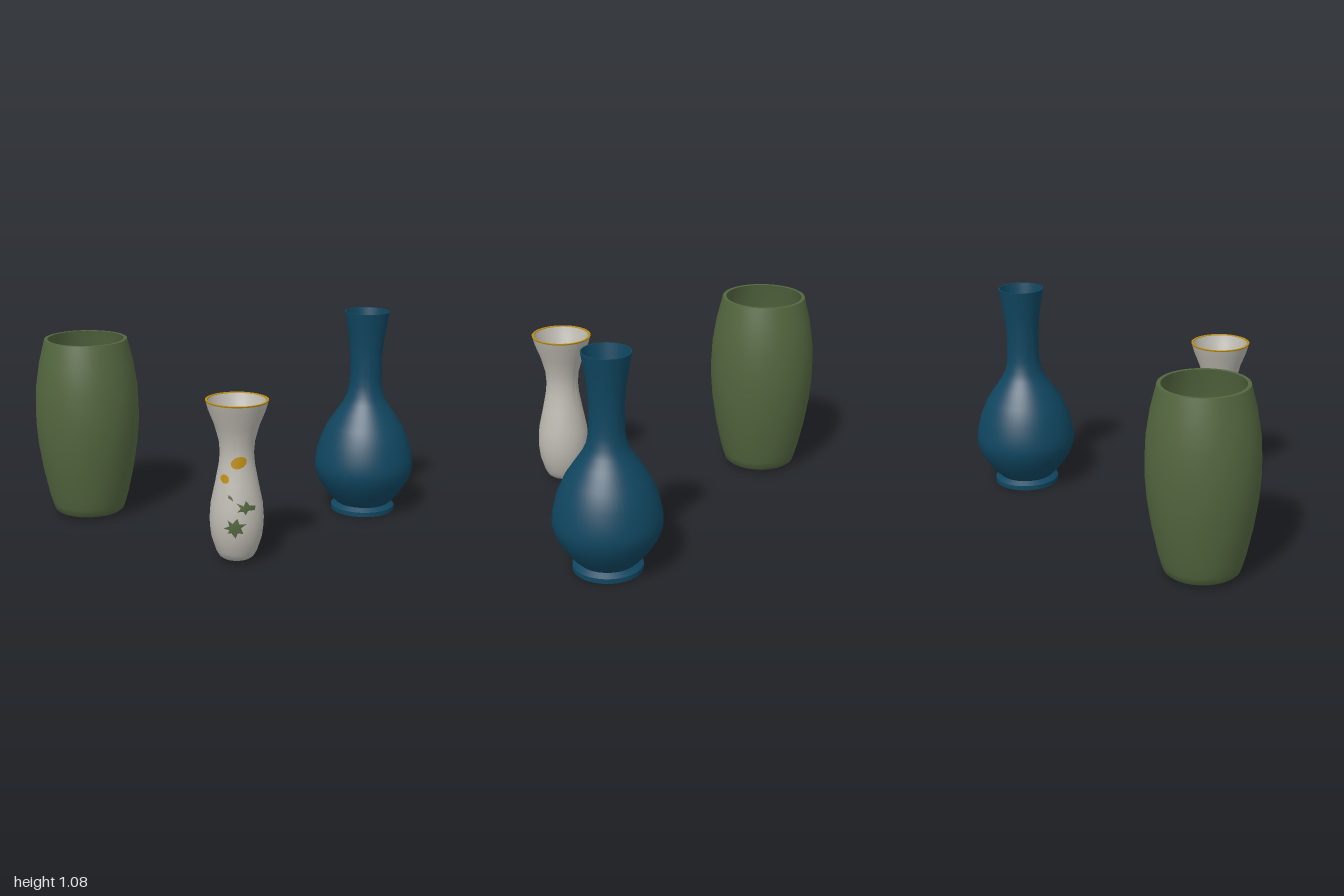
import * as THREE from 'three';
import { toCreasedNormals } from 'three/addons/utils/BufferGeometryUtils.js';

const material = (name, color) => {
  const m = new THREE.MeshStandardMaterial({ color });
  m.name = name;
  return m;
};

// Outer profile (bottom to top), then rim and inner wall back down to the floor
function vaseGeometry(base, outer, wall, floorY) {
  const inner = outer.filter(([, y]) => y > floorY).map(([r, y]) => [r - wall, y]).reverse();
  const floorR = inner[inner.length - 1][0];
  const pts = [...base, ...outer, ...inner, [floorR * 0.9, floorY], [0, floorY]];
  const lathe = new THREE.LatheGeometry(pts.map(([r, y]) => new THREE.Vector2(r, y)), 56);
  return toCreasedNormals(lathe, 0.7);
}

// Radius of a profile at a given height
function radiusAt(profile, y) {
  for (let i = 1; i < profile.length; i++) {
    const [r0, y0] = profile[i - 1], [r1, y1] = profile[i];
    if (y <= y1) return r0 + (r1 - r0) * (y - y0) / (y1 - y0);
  }
  return profile[profile.length - 1][0];
}

// Painted patch: a fan of rings laid on the front of a round profile
function patchGeometry(profile, cx, cy, outline) {
  const n = outline.length, rings = 4, pos = [], idx = [];
  const put = (x, y) => {
    const r = radiusAt(profile, y) + 0.002;
    pos.push(x, y, Math.sqrt(Math.max(0, r * r - x * x)));
  };
  put(cx, cy);
  for (let k = 1; k <= rings; k++)
    for (const [x, y] of outline) put(cx + x * k / rings, cy + y * k / rings);
  for (let k = 0; k < rings; k++)
    for (let i = 0; i < n; i++) {
      const j = (i + 1) % n, a = 1 + k * n + i, b = 1 + k * n + j;
      if (k === 0) idx.push(0, a, b);
      else idx.push(a - n, a, b, a - n, b, b - n);
    }
  const g = new THREE.BufferGeometry();
  g.setAttribute('position', new THREE.Float32BufferAttribute(pos, 3));
  g.setIndex(idx);
  g.computeVertexNormals();
  return g;
}

// Tilted oval outline, counter-clockwise
const oval = (rx, ry, tilt) => Array.from({ length: 16 }, (_, i) => {
  const a = i / 16 * Math.PI * 2, x = rx * Math.cos(a), y = ry * Math.sin(a);
  return [x * Math.cos(tilt) - y * Math.sin(tilt), x * Math.sin(tilt) + y * Math.cos(tilt)];
});

export function createModel() {
  const green = material('olive green', 0x53663f);
  const blue = material('deep blue', 0x104660);
  const white = material('off white', 0xbdbab1);
  const gold = material('gold', 0xbb8c10);

  const model = new THREE.Group();
  model.name = 'vases';
  const add = (parent, name, geometry, mat) => {
    const mesh = new THREE.Mesh(geometry, mat);
    mesh.name = name;
    parent.add(mesh);
    return mesh;
  };
  const place = (name, x, z) => {
    const g = new THREE.Group();
    g.name = name;
    g.position.set(x, 0, z);
    model.add(g);
    return g;
  };

  // Barrel-shaped green vase
  const barrel = [[0.184, 0.024], [0.196, 0.06], [0.21, 0.11], [0.24, 0.25], [0.261, 0.385],
    [0.27, 0.5], [0.27, 0.58], [0.265, 0.69], [0.245, 0.82], [0.215, 0.94]];
  add(place('barrelVase', -0.73, -0.265), 'barrelBody',
    vaseGeometry([[0, 0.014], [0.172, 0.014]], barrel, 0.018, 0.04), green);

  // Long-necked blue vase with a recessed foot
  const bottle = [[0.168, 0], [0.168, 0.024], [0.14, 0.042], [0.165, 0.066], [0.2, 0.108],
    [0.24, 0.173], [0.258, 0.225], [0.26, 0.255], [0.255, 0.3], [0.234, 0.385], [0.198, 0.467],
    [0.146, 0.545], [0.115, 0.59], [0.096, 0.63], [0.085, 0.69], [0.083, 0.74], [0.083, 0.83],
    [0.09, 0.91], [0.103, 0.995], [0.116, 1.075]];
  add(place('bottleVase', 0.735, -0.355), 'bottleBody',
    vaseGeometry([[0, 0.02], [0.15, 0.02], [0.158, 0]], bottle, 0.007, 0.05), blue);

  // Slender white vase with a flared mouth
  const slender = [[0.084, 0.024], [0.1, 0.052], [0.123, 0.123], [0.13, 0.18], [0.131, 0.22],
    [0.126, 0.29], [0.103, 0.4], [0.087, 0.485], [0.082, 0.54], [0.087, 0.6], [0.109, 0.68],
    [0.138, 0.752], [0.151, 0.798]];
  const vase = place('slenderVase', 0.075, 0.455);
  add(vase, 'slenderBody', vaseGeometry([[0, 0.014], [0.07, 0.014]], slender, 0.01, 0.03), white);

  // Gilded lip
  const lip = [[0.15, 0.794], [0.152, 0.8], [0.141, 0.8], [0.14, 0.796]];
  add(vase, 'gildedLip',
    toCreasedNormals(new THREE.LatheGeometry(lip.map(([r, y]) => new THREE.Vector2(r, y)), 56), 0.7), gold);

  // Painted flowers and leaves on the front
  const paint = (name, x, y, outline, mat) =>
    add(vase, name, patchGeometry(slender, x, y, outline), mat);
  paint('upperFlower', 0.011, 0.51, oval(0.039, 0.028, 0.35), gold);
  paint('lowerFlower', -0.055, 0.43, oval(0.021, 0.021, 0), gold);
  paint('leafBud', -0.026, 0.343,
    [[0.013, -0.013], [0.006, 0.006], [-0.01, 0.016], [-0.013, 0.004], [0, -0.006]], green);
  paint('sideLeaf', 0.042, 0.296,
    [[0.05, 0.006], [0.022, 0.012], [0.004, 0.036], [-0.006, 0.012], [-0.04, 0.026],
      [-0.02, 0.002], [-0.036, -0.016], [-0.008, -0.014], [0.004, -0.032], [0.014, -0.012],
      [0.046, -0.014]], green);
  paint('largeLeaf', -0.006, 0.202,
    [[0.03, 0], [0.056, 0.018], [0.022, 0.02], [0.012, 0.046], [-0.01, 0.022], [-0.034, 0.036],
      [-0.026, 0.008], [-0.054, -0.006], [-0.024, -0.012], [-0.036, -0.03], [-0.014, -0.028],
      [0.004, -0.054], [0.014, -0.026], [0.04, -0.03]], green);

  return model;
}
